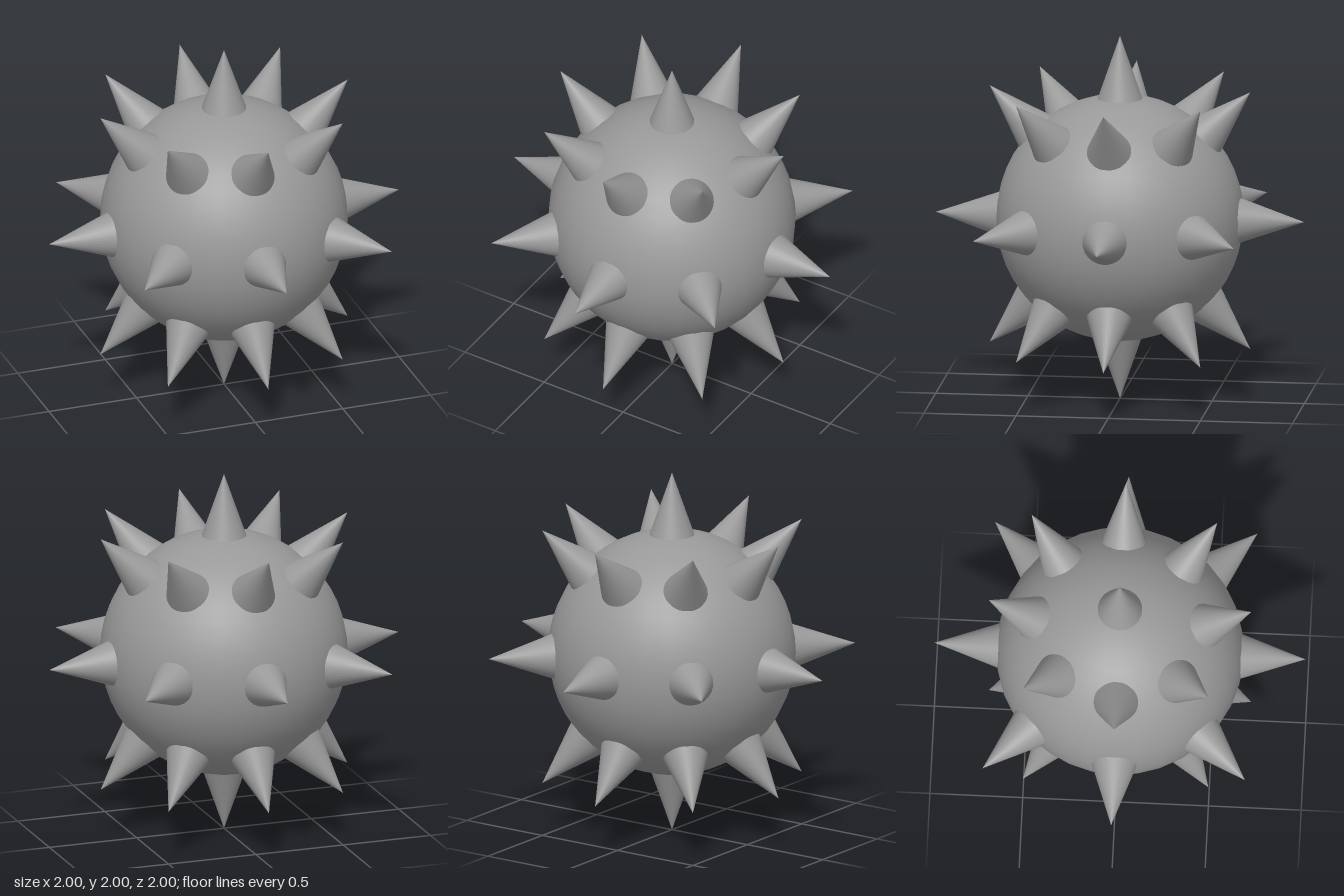
import * as THREE from 'three';

export function createModel() {
  const group = new THREE.Group();
  group.name = 'spikedBall';
  const grey = new THREE.MeshStandardMaterial({ color: 0x999999 });
  grey.name = 'grey';
  const centre = new THREE.Vector3(0, 1, 0);
  const up = new THREE.Vector3(0, 1, 0);

  // Smooth round body
  const body = new THREE.Mesh(new THREE.SphereGeometry(0.667, 32, 24), grey);
  body.name = 'body';
  body.position.copy(centre);
  group.add(body);

  // Cone with its tip one unit from the ball's centre, base just under the skin
  const height = 0.36;
  const cone = new THREE.ConeGeometry(0.125, height, 32, 1);
  cone.translate(0, 1 - height / 2, 0);

  function addSpike(direction) {
    const spike = new THREE.Mesh(cone, grey);
    spike.name = 'spike';
    spike.position.copy(centre);
    spike.quaternion.setFromUnitVectors(up, direction);
    group.add(spike);
  }

  // Three rings of eight spikes
  for (const elevation of [-Math.PI / 4, 0, Math.PI / 4]) {
    for (let i = 0; i < 8; i++) {
      const turn = (i * Math.PI) / 4;
      addSpike(new THREE.Vector3(
        Math.cos(elevation) * Math.cos(turn),
        Math.sin(elevation),
        Math.cos(elevation) * Math.sin(turn)
      ));
    }
  }

  // Top and bottom spikes
  addSpike(new THREE.Vector3(0, 1, 0));
  addSpike(new THREE.Vector3(0, -1, 0));

  return group;
}
